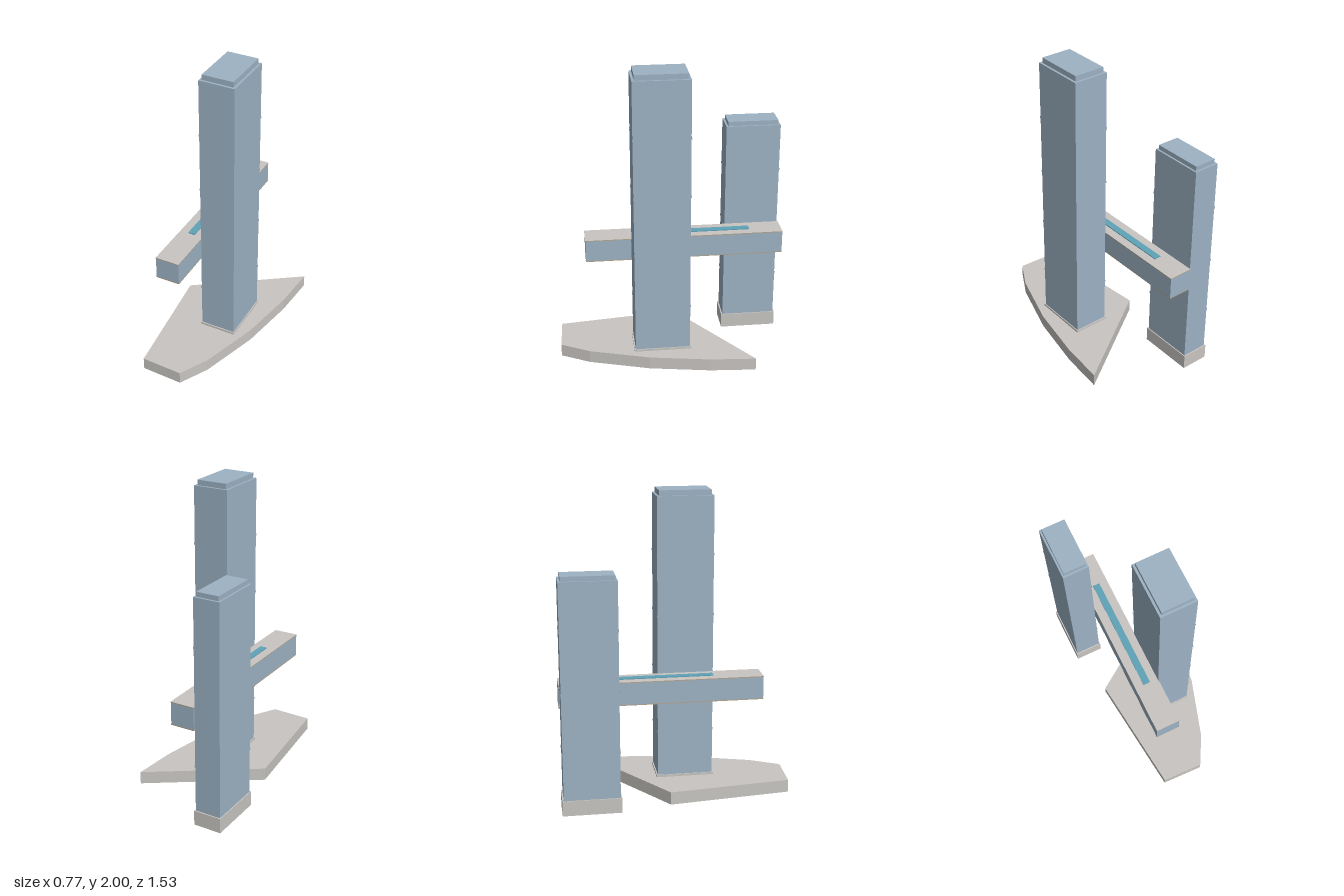
import * as THREE from 'three';

const paint = (name, color) => {
  const m = new THREE.MeshStandardMaterial({ color, side: THREE.DoubleSide });
  m.name = name;
  return m;
};

// Outline of a rectangle on the ground as [x, z] corners
const rect = (w, d) => [[-w / 2, -d / 2], [-w / 2, d / 2], [w / 2, d / 2], [w / 2, -d / 2]];

// Upright walls along a closed outline, open above and below
function walls(outline, y0, y1) {
  const p = [];
  outline.forEach(([ax, az], i) => {
    const [bx, bz] = outline[(i + 1) % outline.length];
    p.push(ax, y0, az, bx, y0, bz, bx, y1, bz, ax, y0, az, bx, y1, bz, ax, y1, az);
  });
  const g = new THREE.BufferGeometry();
  g.setAttribute('position', new THREE.Float32BufferAttribute(p, 3));
  g.computeVertexNormals();
  return g;
}

// Level sheet filling an outline, with an optional hole
function sheet(outline, y, hole) {
  const flat = (pts) => pts.map(([x, z]) => new THREE.Vector2(x, -z));
  const s = new THREE.Shape(flat(outline));
  if (hole) s.holes.push(new THREE.Path(flat(hole)));
  return new THREE.ShapeGeometry(s).rotateX(-Math.PI / 2).translate(0, y, 0);
}

export function createModel() {
  const stone = paint('pale stone', 0xc8c5c1);
  const glass = paint('blue glass', 0x9db2c4);
  const water = paint('pool water', 0x5fa3b8);
  const trim = paint('tan trim', 0xb5a58c);

  const model = new THREE.Group();
  const TILT = -0.031; // everything but the podium is turned slightly

  const add = (parent, name, geometry, material) => {
    const m = new THREE.Mesh(geometry, material);
    m.name = name;
    parent.add(m);
  };
  const turnedGroup = (name, x, z) => {
    const g = new THREE.Group();
    g.name = name;
    g.position.set(x, 0, z);
    g.rotation.y = TILT;
    model.add(g);
    return g;
  };

  // Hollow tower: plinth, shaft with floor bands, and roof cap
  function tower(name, { x, z, base, shaft, cap, shoulder, top, bands }) {
    const g = turnedGroup(name, x, z);
    const baseLine = rect(...base), shaftLine = rect(...shaft), capLine = rect(...cap);
    add(g, 'plinthWalls', walls(baseLine, 0, 0.1), stone);
    add(g, 'plinthLedge', sheet(baseLine, 0.1, shaftLine), stone);
    add(g, 'shaft', walls(shaftLine, 0.1, shoulder), glass);
    add(g, 'shaftRoof', sheet(shaftLine, shoulder), glass);
    add(g, 'capWalls', walls(capLine, shoulder, top), glass);
    add(g, 'capRoof', sheet(capLine, top), glass);
    const bandLine = rect(shaft[0] + 0.006, shaft[1] + 0.006);
    for (let i = 0; i < bands; i++) {
      const y = 0.41 + i * 0.393;
      add(g, 'floorBand', walls(bandLine, y - 0.006, y + 0.006), glass);
    }
  }

  const tall = {
    x: 0.063, z: 0.087, base: [0.25, 0.382], shaft: [0.238, 0.366], cap: [0.208, 0.335],
    shoulder: 1.965, top: 2, bands: 4,
  };
  tower('tallTower', tall);
  tower('shortTower', {
    x: -0.285, z: -0.573, base: [0.189, 0.38], shaft: [0.175, 0.362], cap: [0.15, 0.334],
    shoulder: 1.51, top: 1.54, bands: 3,
  });

  // Podium: a shell open below, with an opening for the tall tower
  const podium = [[-0.32, -0.06], [-0.257, 0.745], [0.02, 0.765], [0.13, 0.58],
    [0.267, 0.19], [0.35, -0.205], [0.383, -0.505]];
  const c = Math.cos(TILT), s = Math.sin(TILT);
  const opening = rect(...tall.base).map(([x, z]) => [tall.x + x * c + z * s, tall.z - x * s + z * c]);
  add(model, 'podiumWalls', walls(podium, 0, 0.085), stone);
  add(model, 'podiumDeck', sheet(podium, 0.085, opening), stone);

  // Sky bridge with a roof deck, edge trims and a long pool
  const bridge = turnedGroup('skyBridge', -0.129, -0.093);
  const W = 0.162, L = 1.325;
  add(bridge, 'bridgeBody', new THREE.BoxGeometry(W, 0.152, L).translate(0, 0.732, 0), glass);
  add(bridge, 'bridgeDeck', sheet(rect(W + 0.002, L + 0.002), 0.811), stone);
  for (const y of [0.655, 0.805]) {
    add(bridge, 'edgeTrim', walls(rect(W + 0.002, L + 0.002), y, y + 0.006), trim);
  }
  add(bridge, 'pool', new THREE.BoxGeometry(0.047, 0.006, 0.787).translate(0.001, 0.814, -0.051), water);

  return model;
}
